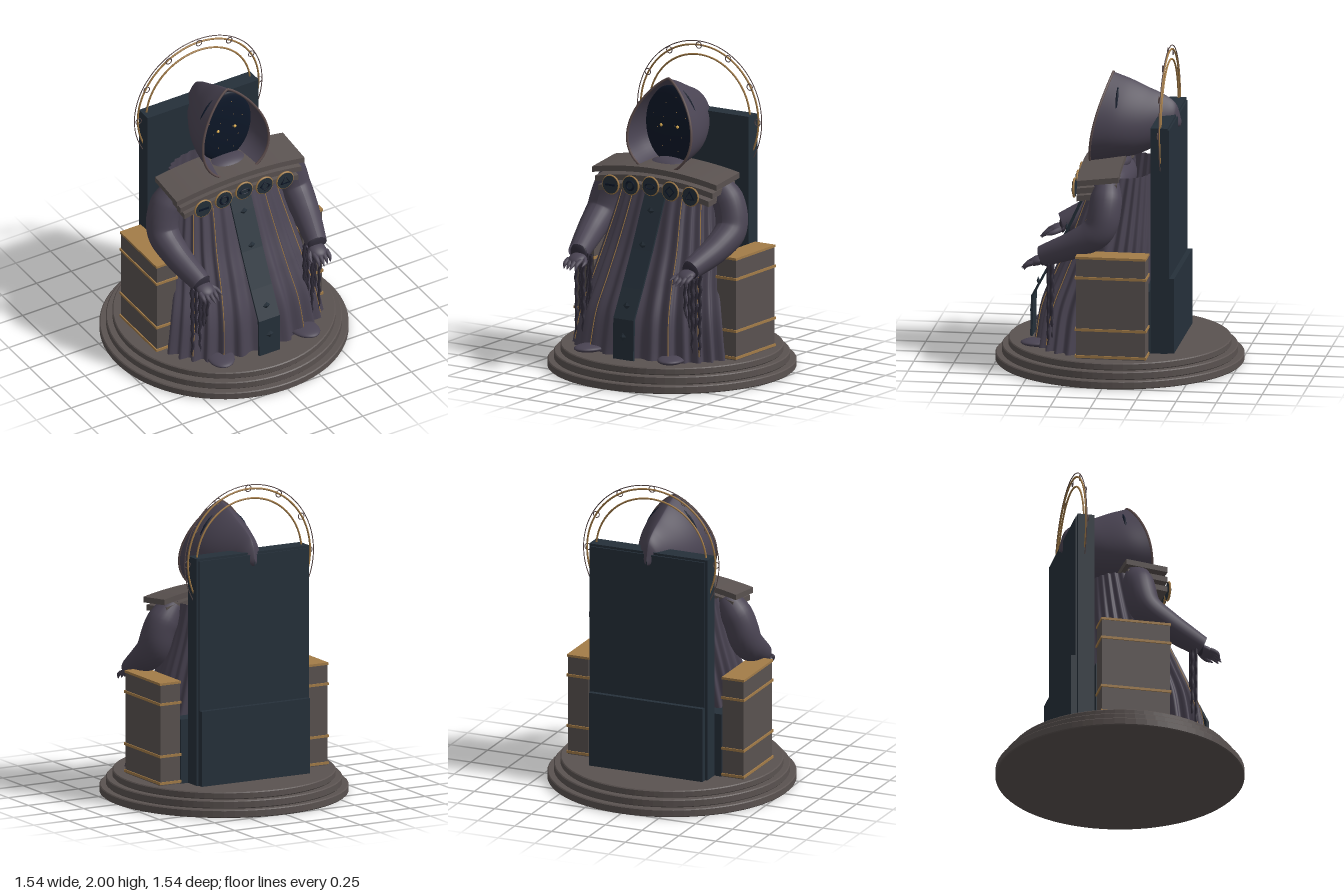
import * as THREE from 'three';
import { ParametricGeometry } from 'three/addons/geometries/ParametricGeometry.js';

const paint = (color) => new THREE.MeshStandardMaterial({ color, side: THREE.DoubleSide });
const STONE = paint(0x5a5250), CLOTH = paint(0x4a4453), DARK_CLOTH = paint(0x302c39), SLATE = paint(0x25303a);
const GOLD = paint(0xa37c48), VOID = paint(0x0d1728), EYE = paint(0xe0b050), TRIM = paint(0x5c4c4c);
const V = (x, y, z) => new THREE.Vector3(x, y, z);
const curveOf = (pts) => new THREE.CatmullRomCurve3(pts.map((p) => V(...p)));
const TAU = Math.PI * 2;

export function createModel() {
  const model = new THREE.Group();
  const add = (name, geo, mat, x = 0, y = 0, z = 0, parent = model) => {
    const mesh = new THREE.Mesh(geo, mat);
    mesh.name = name;
    mesh.position.set(x, y, z);
    parent.add(mesh);
    return mesh;
  };
  const box = (name, mat, x0, x1, y0, y1, z0, z1) =>
    add(name, new THREE.BoxGeometry(Math.abs(x1 - x0), y1 - y0, z1 - z0), mat, (x0 + x1) / 2, (y0 + y1) / 2, (z0 + z1) / 2);
  const ball = (name, mat, x, y, z, rx, ry, rz) => {
    const m = add(name, new THREE.SphereGeometry(1, 28, 18), mat, x, y, z);
    m.scale.set(rx, ry, rz);
    return m;
  };
  // Tube whose radius runs through the listed values
  const taperedTube = (name, mat, pts, radii, n = 32, sides = 18) => {
    const curve = curveOf(pts), geo = new THREE.TubeGeometry(curve, n, 1, sides), pos = geo.attributes.position;
    for (let i = 0; i < pos.count; i++) {
      const t = Math.floor(i / (sides + 1)) / n, k = t * (radii.length - 1), j = Math.min(Math.floor(k), radii.length - 2);
      const r = THREE.MathUtils.lerp(radii[j], radii[j + 1], k - j), c = curve.getPointAt(t);
      const p = V().fromBufferAttribute(pos, i).sub(c).multiplyScalar(r).add(c);
      pos.setXYZ(i, p.x, p.y, p.z);
    }
    geo.computeVertexNormals();
    return add(name, geo, mat);
  };

  // Stepped round base
  [[0.77, 0, 0.05], [0.73, 0.05, 0.1], [0.69, 0.1, 0.145]].forEach(([r, y0, y1]) => {
    const b = 0.006;
    const profile = [[0, y0], [r - b, y0], [r, y0 + b], [r, y1 - b], [r - b, y1], [0, y1]].map((p) => new THREE.Vector2(...p));
    const geo = new THREE.LatheGeometry(profile, 72).toNonIndexed();
    geo.computeVertexNormals();
    add('baseStep', geo, STONE);
  });

  // Throne
  box('throneBack', SLATE, -0.4, 0.4, 0.145, 1.58, -0.355, -0.25);
  box('throneBackPanel', SLATE, -0.385, 0.385, 0.145, 1.565, -0.365, -0.355);
  box('throneLowerPanel', SLATE, -0.385, 0.385, 0.145, 0.62, -0.395, -0.36);
  box('throneSeat', SLATE, -0.45, 0.45, 0.145, 0.55, -0.25, 0.12);
  for (const s of [1, -1]) {
    box('armrest', STONE, s * 0.455, s * 0.595, 0.145, 0.78, -0.245, 0.185);
    box('armrestTop', GOLD, s * 0.45, s * 0.6, 0.78, 0.795, -0.25, 0.19);
    for (const y of [0.16, 0.33, 0.66]) box('armrestBand', GOLD, s * 0.448, s * 0.602, y - 0.008, y + 0.008, -0.252, 0.193);
  }

  // Halo: open arcs with small rings
  const arc = TAU * 0.67;
  [[0.459, 0.003, TRIM], [0.435, 0.006, GOLD], [0.374, 0.006, GOLD]].forEach(([r, tube, mat]) => {
    const m = add('haloArc', new THREE.TorusGeometry(r, tube, 8, 80, arc), mat, 0, 1.538, -0.31);
    m.rotation.z = Math.PI / 2 - arc / 2;
  });
  for (let i = -3; i <= 3; i++) {
    const a = (i * Math.PI) / 6;
    add('haloRing', new THREE.TorusGeometry(0.02, 0.003, 6, 20), TRIM, 0.435 * Math.sin(a), 1.538 + 0.435 * Math.cos(a), -0.3);
  }

  // Pleated robe; each row is [halfWidth, y, frontZ], from hem to shoulders
  const rows = curveOf([[0.54, 0.15, 0.5], [0.5, 0.4, 0.46], [0.45, 0.6, 0.38], [0.41, 0.8, 0.29], [0.36, 1.03, 0.205], [0.33, 1.235, 0.13]]);
  const robePoint = (angle, v, out, lift = 0) => {
    const r = rows.getPoint(v), back = -0.235, zc = (r.z + back) / 2, zr = (r.z - back) / 2;
    const fold = 1 + (0.045 - 0.025 * v) * Math.cos(angle * 28) + lift;
    const sq = (f) => Math.sign(f) * Math.pow(Math.abs(f), 0.8);
    const z = zc + zr * sq(Math.cos(angle)) * fold;
    return out.set(r.x * sq(Math.sin(angle)) * fold, r.y, Math.max(z, -0.248));
  };
  add('robe', new ParametricGeometry((u, v, p) => robePoint(u * TAU, v, p), 224, 40), CLOTH);
  for (const s of [1, -1]) for (const k of [2, 4]) {
    const pts = [];
    for (let i = 0; i <= 14; i++) pts.push(robePoint((s * k * TAU) / 28, 0.03 + (i / 14) * 0.85, V(), 0.003));
    add('robeSeam', new THREE.TubeGeometry(new THREE.CatmullRomCurve3(pts), 50, 0.003, 5), GOLD);
  }

  // Central hanging stole with diamond studs
  const stole = new THREE.Shape([[0.15, 1.21], [0.235, 1.03], [0.34, 0.8], [0.45, 0.58], [0.545, 0.4], [0.55, 0.145],
    [0.535, 0.145], [0.53, 0.4], [0.435, 0.58], [0.325, 0.8], [0.22, 1.03], [0.135, 1.21]].map((p) => new THREE.Vector2(...p)));
  const stoleGeo = new THREE.ExtrudeGeometry(stole, { depth: 0.15, bevelEnabled: false });
  add('stole', stoleGeo, SLATE, -0.075).rotation.y = -Math.PI / 2;
  model.getObjectByName('stole').position.x = 0.075;
  for (const [y, z] of [[1.03, 0.24], [0.83, 0.332], [0.48, 0.51], [0.29, 0.553]]) {
    add('stoleStud', new THREE.OctahedronGeometry(0.026), SLATE, 0, y, z).scale.z = 0.4;
  }

  // Layered shoulder mantle, arched across the shoulders
  [[0.46, 1.29, 0.26, 0.07], [0.435, 1.235, 0.25, 0.08], [0.41, 1.18, 0.22, 0.1]].forEach(([w, y, depth, z]) => {
    const geo = new THREE.BoxGeometry(2 * w, 0.035, depth, 28, 1, 4), pos = geo.attributes.position;
    for (let i = 0; i < pos.count; i++) {
      const q = (pos.getX(i) / w) ** 2;
      pos.setY(i, pos.getY(i) - 0.05 * q - 0.12 * pos.getZ(i));
      pos.setZ(i, pos.getZ(i) + 0.012 * (1 - q));
    }
    geo.computeVertexNormals();
    add('shoulderMantle', geo, STONE, 0, y, z);
  });
  ball('chest', CLOTH, 0, 1.17, 0.03, 0.3, 0.12, 0.13);

  // Five medallions, each with its own simple emblem
  const emblems = [
    () => new THREE.BoxGeometry(0.07, 0.012, 0.008),
    () => new THREE.TorusGeometry(0.027, 0.007, 6, 28),
    () => new THREE.TorusGeometry(0.032, 0.006, 6, 28).scale(1, 0.5, 1),
    () => new THREE.TorusGeometry(0.032, 0.006, 6, 4),
    () => new THREE.TorusGeometry(0.034, 0.006, 6, 3).rotateZ(Math.PI / 2),
  ];
  emblems.forEach((emblem, i) => {
    const medallion = new THREE.Group();
    medallion.name = 'medallion';
    medallion.position.set((i - 2) * 0.147, 1.185 - Math.abs(i - 2) * 0.014, 0.24);
    model.add(medallion);
    add('disc', new THREE.CylinderGeometry(0.056, 0.056, 0.014, 36).rotateX(Math.PI / 2), SLATE, 0, 0, 0, medallion);
    add('rim', new THREE.TorusGeometry(0.056, 0.007, 8, 40), GOLD, 0, 0, 0, medallion);
    add('emblem', emblem(), VOID, 0, 0, 0.009, medallion);
  });

  // Hood: top line carries [halfWidth, y, z]; bottom line [0, y, z], front to back
  const hoodTop = curveOf([[0.235, 1.83, 0.04], [0.218, 1.79, -0.07], [0.175, 1.74, -0.18], [0.115, 1.695, -0.28], [0.06, 1.64, -0.35], [0.004, 1.53, -0.385]]);
  const hoodBottom = curveOf([[0, 1.255, 0.17], [0, 1.285, 0.03], [0, 1.315, -0.11], [0, 1.38, -0.24], [0, 1.48, -0.335], [0, 1.5, -0.38]]);
  const hoodPoint = (a, v, out) => {
    const t = hoodTop.getPoint(v), b = hoodBottom.getPoint(v), k = (1 + Math.cos(a)) / 2;
    const x = (t.x / 0.84) * Math.sin(a) * Math.pow(Math.abs(Math.sin(a / 2)), 0.6);
    const belly = 0.025 * Math.sin(Math.PI * k) * (1 - v);
    return out.set(x, b.y + (t.y - b.y) * k, b.z + (t.z - b.z) * k + belly);
  };
  add('hood', new ParametricGeometry((u, v, p) => hoodPoint(u * TAU, v, p), 64, 40), CLOTH);
  const rim = [];
  for (let i = 0; i <= 48; i++) rim.push(hoodPoint((i / 48) * TAU, 0, V()));
  add('hoodRim', new THREE.TubeGeometry(new THREE.CatmullRomCurve3(rim), 96, 0.008, 6), TRIM);
  ball('neck', CLOTH, 0, 1.27, 0.03, 0.15, 0.06, 0.1);

  // Shadowed face with faint specks and glowing eyes
  ball('face', VOID, 0, 1.53, 0, 0.192, 0.25, 0.03);
  for (const s of [1, -1]) ball('eye', EYE, s * 0.06, 1.525, 0.03, 0.01, 0.01, 0.008);
  for (let i = 0; i < 12; i++) {
    const a = i * 2.4, r = 0.75 * Math.sqrt((i + 1) / 12);
    add('faceSpeck', new THREE.SphereGeometry(0.003, 6, 4), GOLD, 0.19 * r * Math.cos(a), 1.53 + 0.25 * r * Math.sin(a), 0.03 * Math.sqrt(1 - r * r));
  }

  for (const s of [1, -1]) {
    // Sleeve with cuff
    taperedTube('sleeve', CLOTH, [[s * 0.35, 1.22, 0.03], [s * 0.44, 1.09, 0.025], [s * 0.475, 0.94, 0.06], [s * 0.465, 0.85, 0.19], [s * 0.415, 0.745, 0.42]],
      [0.075, 0.1, 0.102, 0.098, 0.088, 0.078, 0.066], 40, 24);
    ball('cuffLining', DARK_CLOTH, s * 0.415, 0.745, 0.418, 0.06, 0.06, 0.02);
    // Hand
    ball('palm', CLOTH, s * 0.405, 0.715, 0.45, 0.056, 0.03, 0.062).rotation.x = 0.35;
    for (let i = 0; i < 4; i++) {
      const x = s * (0.365 + i * 0.029), reach = 0.555 - 0.012 * Math.abs(i - 1);
      taperedTube('finger', CLOTH, [[x, 0.71, 0.47], [x, 0.69, 0.515], [x - s * 0.004, 0.662, reach]], [0.016, 0.015, 0.012, 0.003], 12, 10);
    }
    taperedTube('thumb', CLOTH, [[s * 0.37, 0.715, 0.43], [s * 0.335, 0.7, 0.47], [s * 0.325, 0.685, 0.515]], [0.02, 0.017, 0.013, 0.003], 12, 10);
    // Hanging strands under the cuff
    for (let i = 0; i < 7; i++) {
      const pts = [];
      for (let j = 0; j <= 24; j++) {
        const f = j / 24;
        pts.push([s * (0.345 + i * 0.0195 + (3 - i) * 0.003 * f) + 0.004 * Math.sin(j * 1.6 + i), 0.73 - 0.54 * f, 0.37 + 0.012 * Math.cos(i * 2)]);
      }
      add('sleeveStrand', new THREE.TubeGeometry(curveOf(pts), 60, 0.009, 6), DARK_CLOTH);
    }
    // Shoe
    ball('shoe', CLOTH, s * 0.3, 0.167, 0.46, 0.085, 0.025, 0.115).rotation.y = s * 0.25;
  }
  return model;
}
